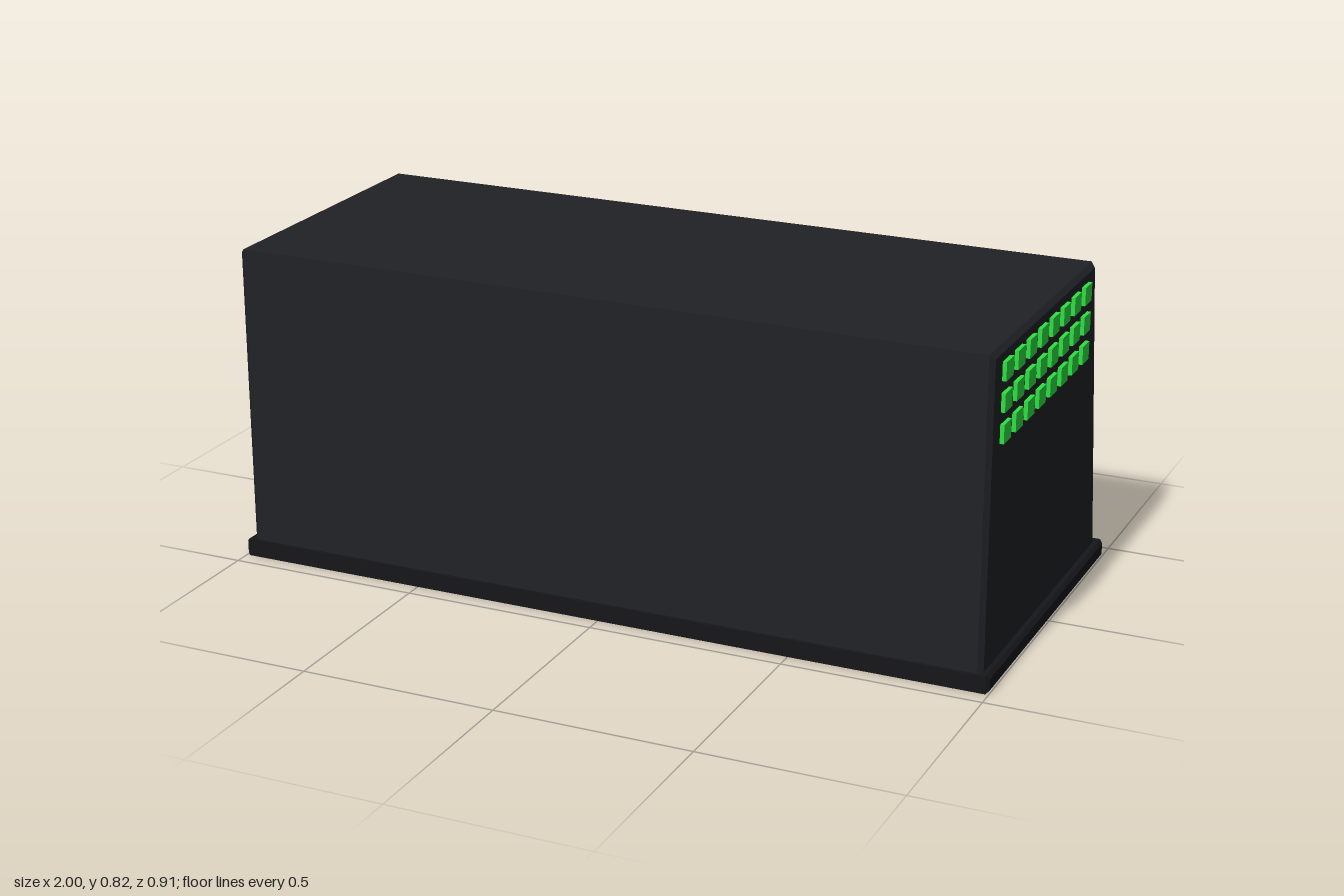
import * as THREE from 'three';

const mat = (color) => new THREE.MeshStandardMaterial({ color });
const bodyMat = mat(0x202226);
const trimMat = mat(0x16171a);
const lightMat = mat(0x2ee042);
const screenMat = mat(0xcccccc);

function addMesh(parent, name, geometry, material, x = 0, y = 0, z = 0) {
  const mesh = new THREE.Mesh(geometry, material);
  mesh.name = name;
  mesh.position.set(x, y, z);
  parent.add(mesh);
  return mesh;
}

// Chamfered prism along x from a side profile of [z, y] points
function prism(points, halfWidth, bevel) {
  const shape = new THREE.Shape(points.map(([z, y]) => new THREE.Vector2(-z, y)));
  const geo = new THREE.ExtrudeGeometry(shape, {
    depth: 2 * (halfWidth - bevel), bevelEnabled: true, bevelSegments: 1,
    bevelSize: bevel, bevelThickness: bevel, bevelOffset: -bevel,
  });
  geo.translate(0, 0, bevel - halfWidth);
  return geo.rotateY(Math.PI / 2);
}

function rectangle(Kind, w, h) {
  return new Kind([
    new THREE.Vector2(-w / 2, -h / 2), new THREE.Vector2(w / 2, -h / 2),
    new THREE.Vector2(w / 2, h / 2), new THREE.Vector2(-w / 2, h / 2),
  ]);
}

// Raised frame around a recessed screen, standing on local z = 0
function createPanel(name, w, h) {
  const panel = new THREE.Group();
  panel.name = name;
  const outline = rectangle(THREE.Shape, w, h);
  outline.holes.push(rectangle(THREE.Path, w - 0.06, h - 0.07));
  const frame = new THREE.ExtrudeGeometry(outline, { depth: 0.028, bevelEnabled: false });
  addMesh(panel, 'screenFrame', frame, trimMat);
  addMesh(panel, 'screen', new THREE.BoxGeometry(w - 0.06, h - 0.07, 0.016), screenMat, 0, 0, 0.008);
  return panel;
}

// Grid of small light blocks centred on local x = 0
function createLights(name, columns, step, rows, w, h) {
  const lights = new THREE.Group();
  lights.name = name;
  const geo = new THREE.BoxGeometry(w, h, 0.02);
  for (const y of rows) {
    for (let i = 0; i < columns; i++) {
      addMesh(lights, 'light', geo, lightMat, (i - (columns - 1) / 2) * step, y, 0);
    }
  }
  return lights;
}

export function createModel() {
  const model = new THREE.Group();
  model.name = 'console';

  // Plinth and wedge-backed housing
  addMesh(model, 'base', prism([[0.457, 0], [0.457, 0.045], [-0.447, 0.045], [-0.447, 0]], 1, 0.008), trimMat);
  addMesh(model, 'body', prism([[0.45, 0.03], [0.45, 0.82], [-0.323, 0.82], [-0.432, 0.03]], 0.98, 0.012), bodyMat);

  // Sloping back face: local y runs up the slope, local z points outward
  const back = new THREE.Group();
  back.name = 'backFace';
  back.position.set(0, 0.045, -0.43);
  back.rotation.set(-Math.atan2(0.109, 0.79), Math.PI, 0, 'YXZ');
  model.add(back);

  const lower = createPanel('lowerScreen', 0.85, 0.26);
  lower.position.set(0, 0.141, 0);
  back.add(lower);
  for (const side of [-1, 1]) {
    const upper = createPanel(side < 0 ? 'upperScreenLeft' : 'upperScreenRight', 0.81, 0.252);
    upper.position.set(side * 0.414, 0.399, 0);
    back.add(upper);
  }
  back.add(createLights('backLights', 24, 0.0755, [0.572, 0.652, 0.732], 0.05, 0.044));

  // Light grids on both ends
  for (const side of [-1, 1]) {
    const lights = createLights(side < 0 ? 'rightLights' : 'leftLights', 8, 0.0855, [0.614, 0.689, 0.764], 0.052, 0.046);
    lights.position.set(side * 0.98, 0, 0.063);
    lights.rotation.y = side * Math.PI / 2;
    model.add(lights);
  }
  return model;
}
